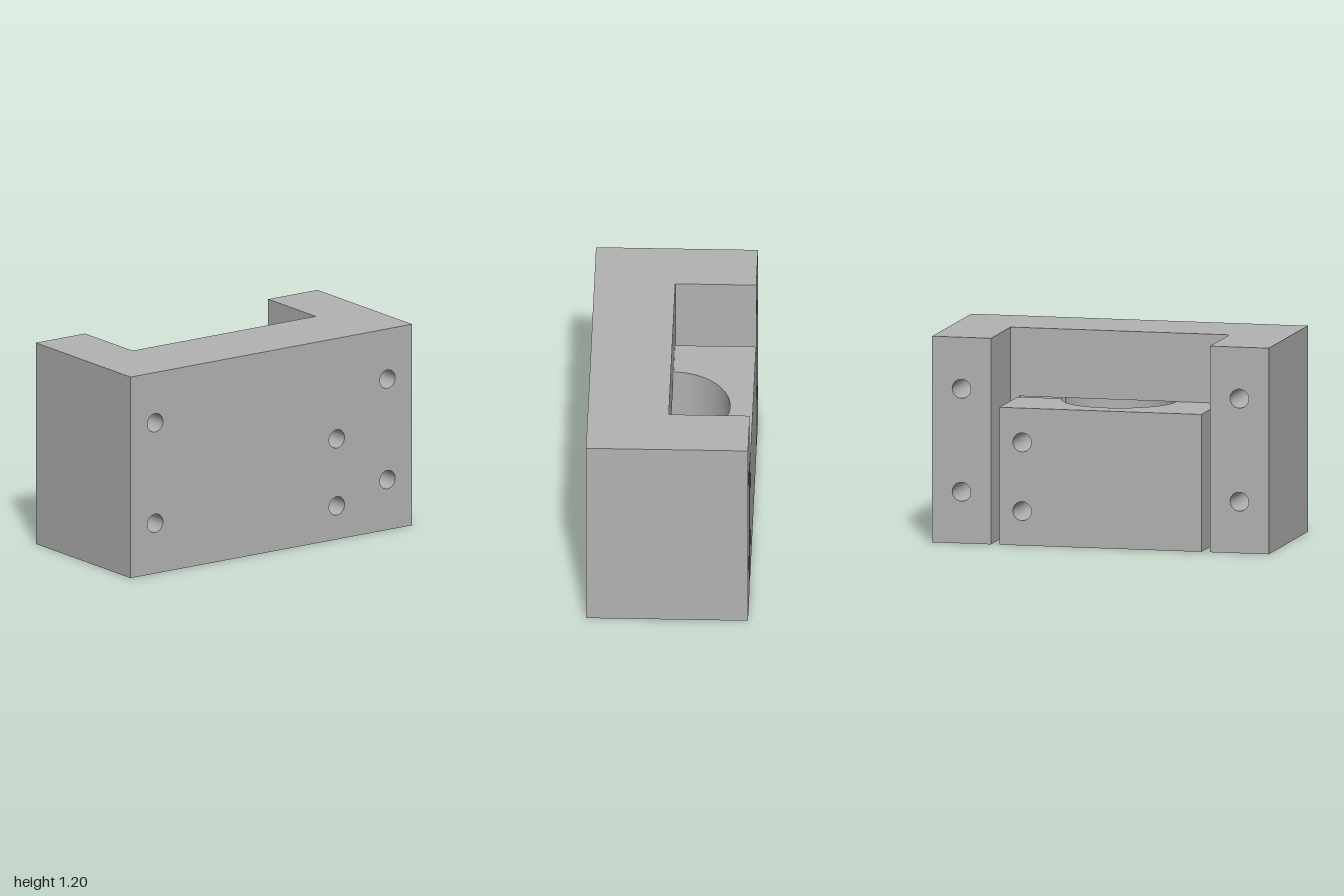
import * as THREE from 'three';
import { mergeGeometries } from 'three/addons/utils/BufferGeometryUtils.js';

const H = 1.2, JAW = 0.8;            // full height, clamp height
const D = 0.467;                     // half depth
const LEG = 0.65, CL = 0.6;          // inner face of legs, side of clamp
const R = 0.335, S = 0.033;          // bore radius, half width of clamp slot
const HOLE = 0.055;
const GAP = Math.asin(S / R), BX = R * Math.cos(GAP);

const mounts = [[-0.825, 0.3], [-0.825, 0.9], [0.825, 0.3], [0.825, 0.9]];
const clampBolts = [[0.465, 0.2], [0.465, 0.6]];

function flip(g) {
  const idx = g.index.array;
  for (let i = 0; i < idx.length; i += 3) [idx[i], idx[i + 1]] = [idx[i + 1], idx[i]];
  const n = g.attributes.normal.array;
  for (let i = 0; i < n.length; i++) n[i] = -n[i];
  return g;
}

// Outline from points; an entry { arc: [a0, a1] } follows the bore circle
function outline(list, holes = []) {
  const s = new THREE.Shape();
  list.forEach((p, i) => {
    if (p.arc) s.absarc(0, 0, R, p.arc[0], p.arc[1], false);
    else if (i === 0) s.moveTo(p[0], p[1]);
    else s.lineTo(p[0], p[1]);
  });
  for (const [x, y] of holes) {
    const h = new THREE.Path();
    h.absarc(x, y, HOLE, 0, Math.PI * 2, true);
    s.holes.push(h);
  }
  return new THREE.ShapeGeometry(s, 32);
}
const rect = (a, b, c, d) => [[a, c], [b, c], [b, d], [a, d]];

// Faces across each axis; dir is the sign of the normal
function faceZ(z, dir, list, holes) {
  const g = outline(list, holes);
  return (dir < 0 ? flip(g) : g).translate(0, 0, z);
}
function faceX(x, dir, z0, z1, y1) {
  const g = outline(rect(z0, z1, 0, y1)).rotateY(-Math.PI / 2);
  return (dir > 0 ? flip(g) : g).translate(x, 0, 0);
}
function faceY(y, dir, list) {
  const g = outline(list).rotateX(Math.PI / 2);
  return (dir > 0 ? flip(g) : g).translate(0, y, 0);
}

// Inside wall of a bolt hole
function holeWall([x, y], z0, z1) {
  const g = new THREE.CylinderGeometry(HOLE, HOLE, z1 - z0, 64, 1, true);
  return flip(g).rotateX(Math.PI / 2).translate(x, y, (z0 + z1) / 2);
}

export function createModel() {
  const group = new THREE.Group();
  const grey = new THREE.MeshStandardMaterial({ color: 0xb2b2b2 });
  grey.name = 'grey';
  const add = (name, parts) => {
    const m = new THREE.Mesh(mergeGeometries(parts), grey);
    m.name = name;
    group.add(m);
  };

  // U-shaped bracket: front plate, two legs, inner wall
  const bracket = [
    faceZ(D, 1, rect(-1, 1, 0, H), [...mounts, ...clampBolts]),
    faceZ(0, -1, [[-LEG, 0], [-CL, 0], [-CL, JAW], [CL, JAW], [CL, 0], [LEG, 0], [LEG, H], [-LEG, H]]),
    faceY(H, 1, [[-1, D], [1, D], [1, -D], [LEG, -D], [LEG, 0], [-LEG, 0], [-LEG, -D], [-1, -D]]),
  ];
  for (const s of [-1, 1]) {
    bracket.push(
      faceX(s, s, -D, D, H),
      faceX(s * LEG, -s, -D, 0, H),
      faceZ(-D, -1, s > 0 ? rect(LEG, 1, 0, H) : rect(-1, -LEG, 0, H), mounts.filter(m => m[0] * s > 0)),
    );
  }
  add('bracket', bracket);

  // Underside shared by bracket and clamp
  add('underside', [faceY(0, -1, [
    [-1, D], [1, D], [1, -D], [LEG, -D], [LEG, 0], [CL, 0], [CL, S], [BX, S],
    { arc: [GAP, 2 * Math.PI - GAP] },
    [CL, -S], [CL, -D], [-CL, -D], [-CL, 0], [-LEG, 0], [-LEG, -D], [-1, -D],
  ])]);

  // Clamp jaw, joined to the bracket on one side
  add('clampJaw', [
    faceZ(-D, -1, rect(-CL, CL, 0, JAW), clampBolts),
    faceZ(-S, 1, rect(BX, CL, 0, JAW), clampBolts),
    faceX(-CL, -1, -D, 0, JAW),
    faceX(CL, 1, -D, -S, JAW),
    faceY(JAW, 1, [[-CL, 0], [-R, 0], { arc: [Math.PI, 2 * Math.PI - GAP] }, [CL, -S], [CL, -D], [-CL, -D]]),
  ]);

  // Clamp slot and the ceiling over the front half of the bore
  add('clampSlot', [
    faceZ(S, -1, rect(BX, CL, 0, JAW), clampBolts),
    faceX(CL, -1, 0, S, JAW),
    faceY(JAW, -1, [[CL, 0], [CL, S], [BX, S], { arc: [GAP, Math.PI] }]),
  ]);

  // Bore wall, open at the slot
  const bore = new THREE.CylinderGeometry(R, R, JAW, 96, 1, true, Math.PI / 2 + GAP, 2 * (Math.PI - GAP));
  add('bore', [flip(bore).translate(0, JAW / 2, 0)]);

  // Bolt holes
  add('mountingHoles', mounts.map(m => holeWall(m, -D, D)));
  add('clampBoltHoles', clampBolts.flatMap(m => [holeWall(m, -D, -S), holeWall(m, S, D)]));

  return group;
}
